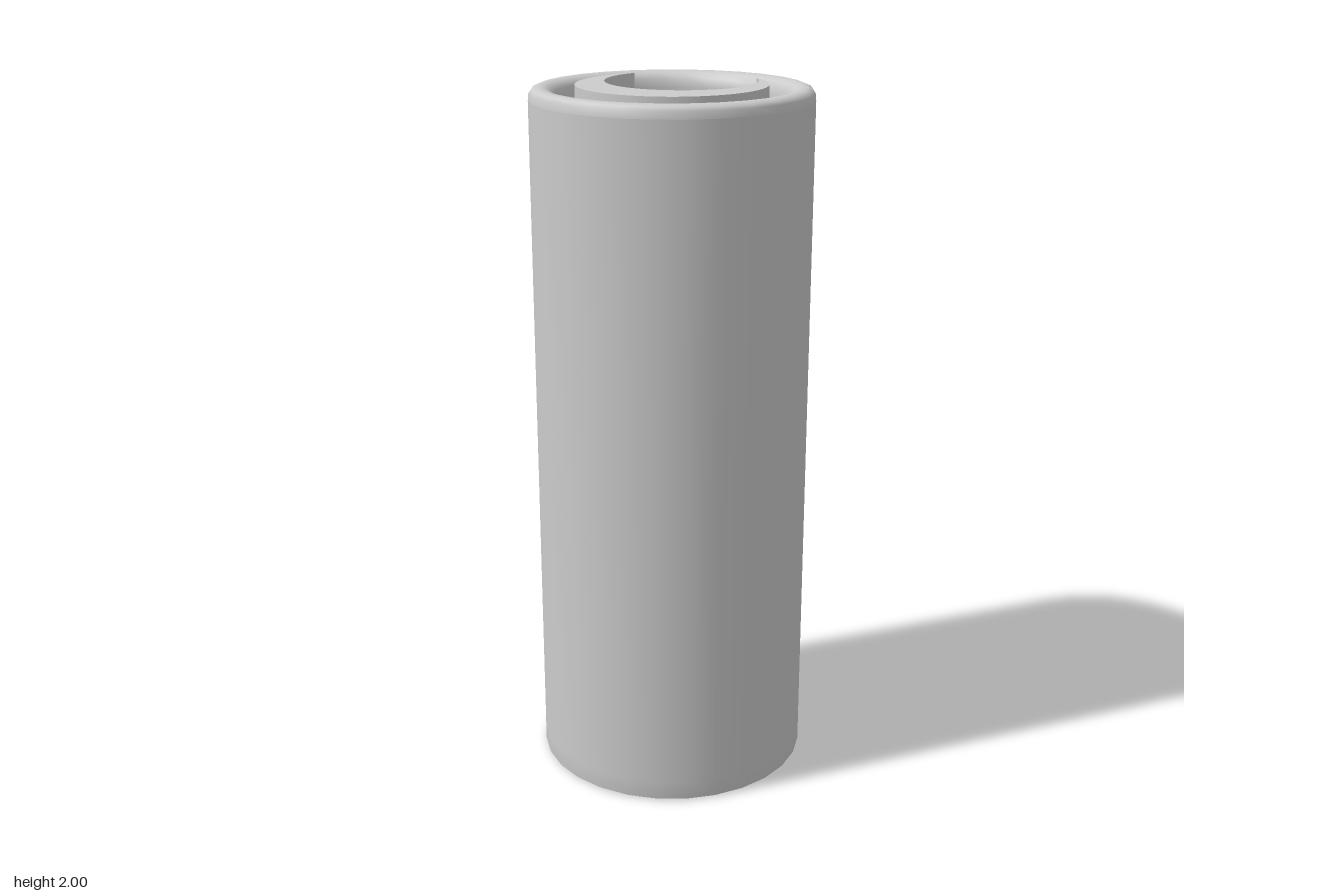
import * as THREE from 'three';
import { toCreasedNormals } from 'three/addons/utils/BufferGeometryUtils.js';

const SIDES = 28;
const FLOOR = 1.66; // height of the recessed floor

export function createModel() {
  const group = new THREE.Group();
  const material = new THREE.MeshStandardMaterial({ color: 0xcccccc });

  const add = (name, geometry) => {
    const mesh = new THREE.Mesh(geometry, material);
    mesh.name = name;
    group.add(mesh);
    return mesh;
  };
  const lathe = (points) =>
    new THREE.LatheGeometry(points.map(([r, y]) => new THREE.Vector2(r, y)), SIDES);

  // Outer wall, shaded softly into the base edge
  add('body', lathe([[0.385, 0], [0.392, 0.005], [0.392, 0.06], [0.392, 0.1], [0.392, 1.96]]));
  add('base', lathe([[0, 0], [0.385, 0]]));

  // Rounded rim rolling into the inner wall
  add('rim', lathe([
    [0.392, 1.96], [0.39, 1.98], [0.383, 1.99], [0.37, 1.995], [0.352, 1.995],
    [0.335, 1.988], [0.324, 1.975], [0.319, 1.95], [0.318, 1.9], [0.318, FLOOR - 0.02],
  ]));

  // Recessed floor with a shallow step around its edge
  add('recessFloor', toCreasedNormals(lathe([
    [0.318, FLOOR - 0.02], [0.28, FLOOR - 0.02], [0.265, FLOOR], [0, FLOOR],
  ]), 0.4));

  // Crescent block: a disc with an offset round bite open at the back
  const R = 0.265, r = 0.214, offset = 0.08;
  const cutY = (R * R - r * r + offset * offset) / (2 * offset);
  const cutX = Math.sqrt(R * R - cutY * cutY);
  const outer = Math.atan2(cutY, cutX);
  const inner = Math.atan2(cutY - offset, cutX);
  const shape = new THREE.Shape();
  shape.absarc(0, 0, R, outer, Math.PI - outer, true);
  shape.absarc(0, offset, r, Math.PI - inner, inner, false);
  const block = new THREE.ExtrudeGeometry(shape, {
    depth: 2 - FLOOR, bevelEnabled: false, curveSegments: 24,
  });
  block.rotateX(-Math.PI / 2);
  add('crescentBlock', toCreasedNormals(block, 0.6)).position.y = FLOOR;

  return group;
}
